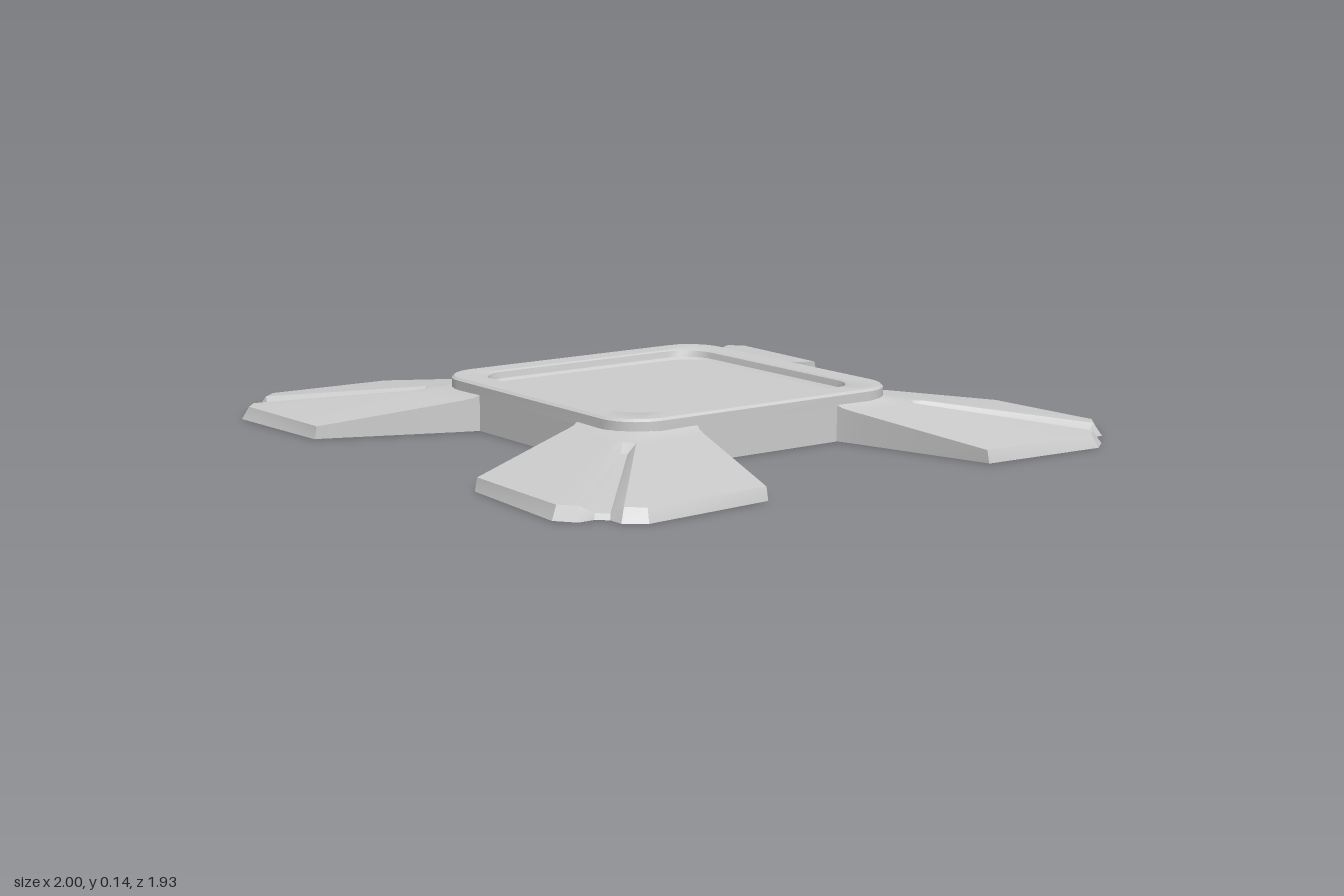
import * as THREE from 'three';
import { toCreasedNormals } from 'three/addons/utils/BufferGeometryUtils.js';

const material = new THREE.MeshStandardMaterial({ color: 0xcccccc, side: THREE.DoubleSide });

// Skin a grid of [x, y, z] points, row by row
function skin(rows, crease = 0.5) {
  const n = rows[0].length;
  const index = [];
  for (let r = 0; r < rows.length - 1; r++) {
    for (let c = 0; c < n - 1; c++) {
      const p = r * n + c, q = p + n;
      index.push(p, q, p + 1, q, q + 1, p + 1);
    }
  }
  const geometry = new THREE.BufferGeometry();
  geometry.setAttribute('position', new THREE.Float32BufferAttribute(rows.flat(2), 3));
  geometry.setIndex(index);
  return toCreasedNormals(geometry, crease);
}

// Closed ring of a rounded square
function roundedRing(half, radius, y, segments = 7) {
  const ring = [];
  for (let corner = 0; corner < 4; corner++) {
    for (let i = 0; i <= segments; i++) {
      const a = (corner + i / segments) * Math.PI / 2;
      const mid = (corner + 0.5) * Math.PI / 2;
      const d = (half - radius) * Math.SQRT2;
      ring.push([Math.cos(mid) * d + Math.cos(a) * radius, y, -Math.sin(mid) * d - Math.sin(a) * radius]);
    }
  }
  ring.push([...ring[0]]);
  return ring;
}

// Each row of half a leg: edge, shoulder, groove lip, groove floor; t is the reach outward
const legRows = [
  { t: 0, pts: [[0.25, 0.108, 0.487], [0.4, 0.108, 0.482], [0.44, 0.108, 0.463], [0.453, 0.108, 0.453]] },
  { t: 0, pts: [[0.257, 0.099, 0.505], [0.42, 0.099, 0.503], [0.465, 0.099, 0.495], [0.48, 0.1, 0.48]] },
  { t: 0.05, pts: [[0.27, 0.093, 0.538], [0.445, 0.093, 0.537], [0.495, 0.093, 0.535], [0.507, 0.093, 0.517]] },
  { t: 0.08, pts: [[0.278, 0.09, 0.56], [0.46, 0.09, 0.558], [0.515, 0.09, 0.556], [0.53, 0.068, 0.54]] },
  { t: 1, pts: [[0.43, 0.037, 0.932], [0.82, 0.037, 0.946], [0.865, 0.037, 0.907], [0.88, 0.016, 0.87]] },
  { t: 1, pts: [[0.43, 0, 0.94], [0.83, 0, 0.966], [0.885, 0, 0.924], [0.885, 0, 0.876]] },
];

function legGeometry() {
  const rows = legRows.map(({ t, pts }) => {
    const other = pts.map(([x, y, z]) => [z + 0.035 * t, y, x - 0.04 * t]).reverse();
    const across = [...pts, ...other];
    const ground = ([x, , z]) => [x, 0, z];
    return [ground(across[0]), ...across, ground(across[across.length - 1])];
  });
  return skin(rows, 0.45);
}

export function createModel() {
  const model = new THREE.Group();
  const add = (name, geometry, parent = model) => {
    const mesh = new THREE.Mesh(geometry, material);
    mesh.name = name;
    parent.add(mesh);
    return mesh;
  };

  // Raised rim, recess and floor of the platform
  const profile = [
    [0.49, 0.12, 0.1], [0.49, 0.12, 0.133], [0.482, 0.112, 0.14], [0.412, 0.1, 0.14],
    [0.406, 0.1, 0.136], [0.402, 0.1, 0.117], [0.39, 0.09, 0.11], [0.0001, 0.00005, 0.11],
  ];
  add('platform', skin(profile.map(([half, radius, y]) => roundedRing(half, radius, y)).reverse()));

  // Lower walls between the legs
  const walls = new THREE.Group();
  walls.name = 'lowerWalls';
  model.add(walls);
  for (let i = 0; i < 4; i++) {
    const side = new THREE.Group();
    side.rotation.y = i * Math.PI / 2;
    walls.add(side);
    add('wall', new THREE.PlaneGeometry(0.5, 0.1).translate(0, 0.05, 0.49), side);
  }

  // Four hollow grooved legs, mirrored to each corner
  const leg = legGeometry();
  for (const [name, sx, sz] of [
    ['frontLeftLeg', 1, 1], ['frontRightLeg', -1, 1],
    ['backLeftLeg', 1, -1], ['backRightLeg', -1, -1],
  ]) add(name, leg).scale.set(sx, 1, sz);

  return model;
}
